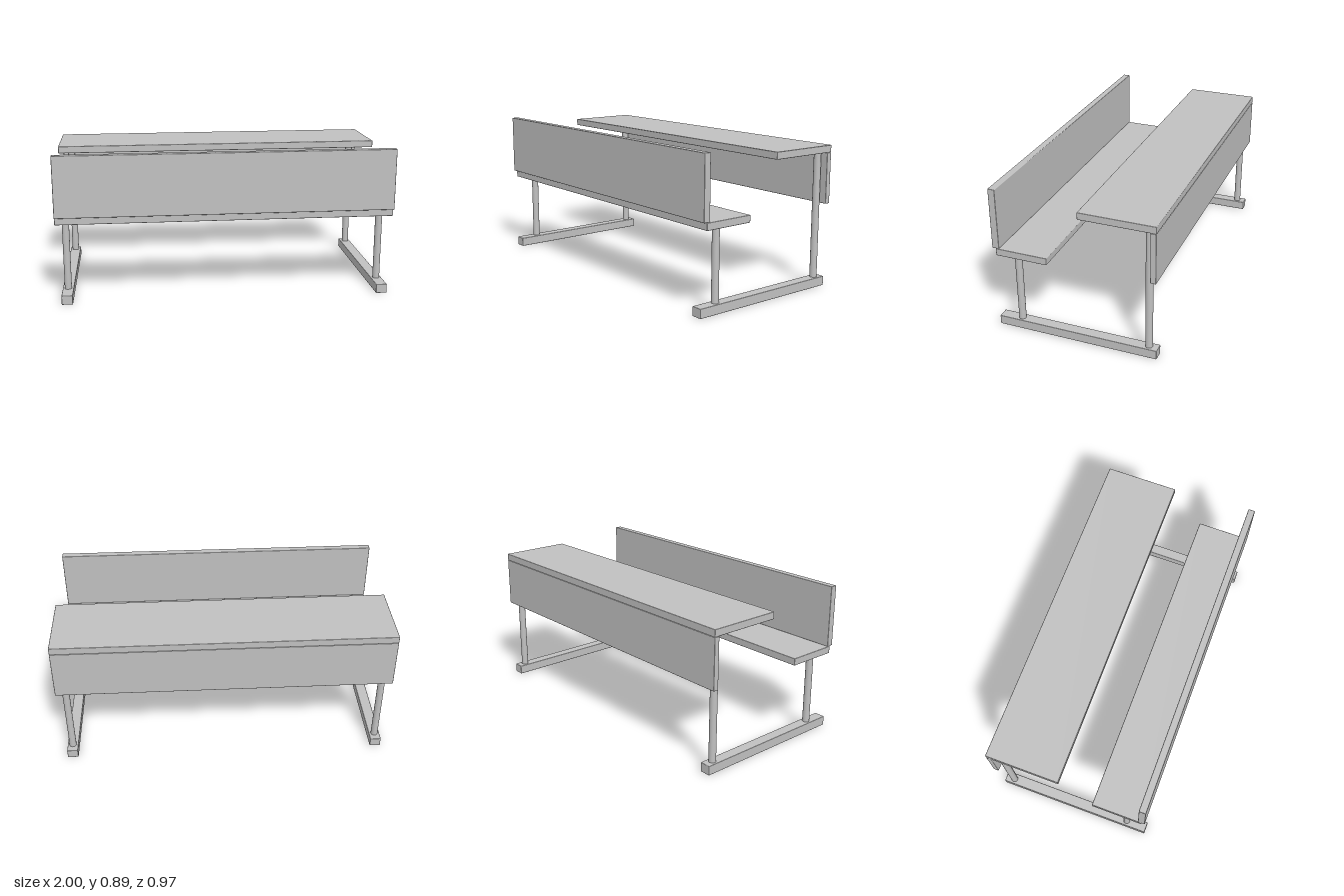
import * as THREE from 'three';
import { RoundedBoxGeometry } from 'three/addons/geometries/RoundedBoxGeometry.js';

export function createModel() {
  const model = new THREE.Group();
  model.name = 'benchDesk';
  const grey = new THREE.MeshStandardMaterial({ color: 0xc0c0c0 });
  grey.name = 'light grey';

  // Softened board given by its x, y and z ranges
  function board(name, [x0, x1], [y0, y1], [z0, z1]) {
    const geometry = new RoundedBoxGeometry(x1 - x0, y1 - y0, z1 - z0, 2, 0.004);
    const mesh = new THREE.Mesh(geometry, grey);
    mesh.name = name;
    mesh.position.set((x0 + x1) / 2, (y0 + y1) / 2, (z0 + z1) / 2);
    model.add(mesh);
  }

  // Round upright tube between two heights
  function post(name, x, z, y0, y1) {
    const mesh = new THREE.Mesh(new THREE.CylinderGeometry(0.021, 0.021, y1 - y0, 32), grey);
    mesh.name = name;
    mesh.position.set(x, (y0 + y1) / 2, z);
    model.add(mesh);
  }

  // Full-width boards
  const width = [-1, 1];
  board('backrest', width, [0.524, 0.89], [0.441, 0.483]);
  board('seat', width, [0.48, 0.523], [0.152, 0.462]);
  board('deskTop', width, [0.802, 0.845], [-0.483, -0.04]);
  board('modestyPanel', width, [0.502, 0.802], [-0.483, -0.45]);

  // Side frames: floor rail with a seat post and a desk post
  for (const [side, s] of [['left', 1], ['right', -1]]) {
    const x = 0.945 * s;
    board(side + 'FloorRail', [x - 0.033, x + 0.033], [0, 0.056], [-0.483, 0.483]);
    post(side + 'SeatPost', x, 0.352, 0.054, 0.482);
    post(side + 'DeskPost', x, -0.428, 0.054, 0.804);
  }

  return model;
}
